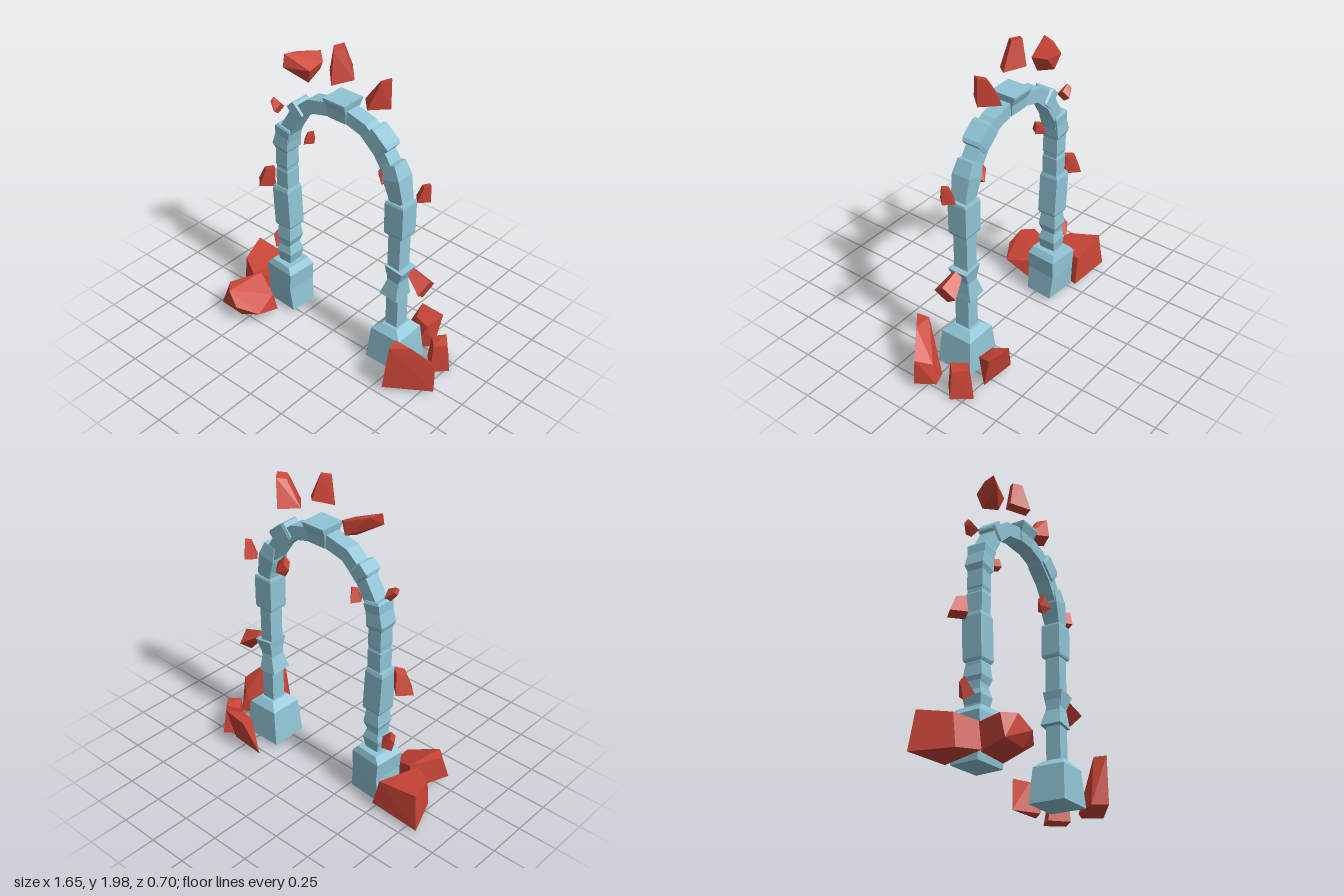
import * as THREE from 'three';
import { ConvexGeometry } from 'three/addons/geometries/ConvexGeometry.js';

const Z = -0.055; // depth of the arch plane
const stone = new THREE.MeshStandardMaterial({ color: 0x8fc4d5, flatShading: true });
const crystal = new THREE.MeshStandardMaterial({ color: 0xcb4537, flatShading: true });
const v = (x, y, z) => new THREE.Vector3(x, y, z);

// Joins four-cornered rings into a closed, faceted solid
function loft(rings) {
  const pts = [];
  for (let i = 0; i < rings.length - 1; i++) {
    const a = rings[i], b = rings[i + 1];
    for (let j = 0; j < 4; j++) {
      const k = (j + 1) % 4;
      pts.push(a[j], b[j], a[k], a[k], b[j], b[k]);
    }
  }
  const s = rings[0], e = rings[rings.length - 1];
  pts.push(s[0], s[1], s[2], s[0], s[2], s[3], e[0], e[2], e[1], e[0], e[3], e[2]);
  const geo = new THREE.BufferGeometry().setFromPoints(pts);
  geo.computeVertexNormals();
  return geo;
}

function add(group, name, geo, material) {
  const mesh = new THREE.Mesh(geo, material);
  mesh.name = name;
  group.add(mesh);
  return mesh;
}

// Stone block: rows of [height, half width, half depth, shift x, shift z]
function block(group, name, x, y, degrees, rows, z = Z) {
  const rings = rows.map(([h, w, d, sx = 0, sz = 0]) => [
    v(sx - w, h, sz - d), v(sx + w, h, sz - d), v(sx + w, h, sz + d), v(sx - w, h, sz + d)]);
  const mesh = add(group, name, loft(rings), stone);
  mesh.position.set(x, y, z);
  mesh.rotation.z = THREE.MathUtils.degToRad(degrees);
  return mesh;
}

// Square beam following the arch
function beam(path, w, d) {
  return loft(path.map(([x, y], i) => {
    const p = path[Math.max(i - 1, 0)], n = path[Math.min(i + 1, path.length - 1)];
    const t = new THREE.Vector2(n[0] - p[0], n[1] - p[1]).normalize();
    const c = (s, z) => v(x + s * t.y * w, y - s * t.x * w, Z + z * d);
    return [c(-1, -1), c(1, -1), c(1, 1), c(-1, 1)];
  }));
}

function rock(group, name, points) {
  return add(group, name, new ConvexGeometry(points.map(p => v(...p))), crystal);
}

// Floating shard: diamond base across a-b, narrower diamond top across c-d
function shard(group, name, a, b, c, d, depth, z = Z, tilt = 0) {
  const mid = (p, q) => [(p[0] + q[0]) / 2, (p[1] + q[1]) / 2];
  const m = mid(a, b), n = mid(c, d), h = depth / 2;
  return rock(group, name, [
    [...a, z], [...b, z], [...c, z], [...d, z],
    [m[0], m[1] - tilt, z + h], [m[0], m[1] + tilt, z - h],
    [n[0], n[1] - tilt * 0.4, z + h * 0.5], [n[0], n[1] + tilt * 0.4, z - h * 0.5]]);
}

export function createModel() {
  const model = new THREE.Group();
  model.name = 'crystalArch';

  // Arch core
  add(model, 'archBeam', beam([
    [-0.415, 0.2], [-0.415, 1.16], [-0.385, 1.32], [-0.3, 1.46], [-0.185, 1.56], [0.02, 1.61],
    [0.205, 1.56], [0.32, 1.46], [0.415, 1.32], [0.45, 1.16], [0.45, 0.2]], 0.043, 0.048), stone);

  // Footings
  block(model, 'rightFooting', -0.41, 0, 0, [
    [0.03, 0.11, 0.09, 0.005, 0], [0.19, 0.098, 0.1, 0, 0],
    [0.305, 0.106, 0.1, -0.002, 0], [0.345, 0.075, 0.085, 0, 0]]).rotation.y = -0.08;
  block(model, 'leftFooting', 0.45, 0, 0, [
    [0.03, 0.13, 0.12], [0.255, 0.105, 0.105], [0.3, 0.055, 0.065]]);

  // Blocks around the right column
  block(model, 'rightChippedBlock', -0.41, 0.48, 0, [
    [-0.13, 0.044, 0.05], [-0.06, 0.058, 0.06], [0, 0.04, 0.045], [0.05, 0.056, 0.06], [0.14, 0.045, 0.05]]);
  block(model, 'rightColumnBlock', -0.417, 0.765, 3.3, [
    [-0.145, 0.056, 0.055], [-0.13, 0.062, 0.062], [0.12, 0.062, 0.062], [0.145, 0.056, 0.055]]);
  block(model, 'rightCollar', -0.415, 1.05, 0, [
    [-0.14, 0.045, 0.05], [-0.02, 0.046, 0.052], [0, 0.038, 0.046], [0.02, 0.046, 0.052], [0.14, 0.045, 0.05]]);
  block(model, 'rightShoulderBlock', -0.407, 1.26, -10, [
    [-0.09, 0.042, 0.05], [-0.06, 0.058, 0.062], [0.02, 0.05, 0.058], [0.075, 0.056, 0.062], [0.09, 0.048, 0.055]]);

  // Blocks around the left column
  block(model, 'leftChippedBlock', 0.45, 0.625, -8, [
    [-0.115, 0.062, 0.068], [0.005, 0.038, 0.048], [0.105, 0.064, 0.066]]);
  block(model, 'leftColumnBlock', 0.45, 1.07, 0, [
    [-0.11, 0.062, 0.058], [-0.095, 0.065, 0.063], [0.095, 0.065, 0.063], [0.11, 0.062, 0.058]]);
  block(model, 'leftShoulderBlock', 0.427, 1.29, 15, [
    [-0.11, 0.046, 0.05], [0.035, 0.058, 0.06], [0.125, 0.04, 0.05]]);

  // Blocks around the curve and the keystone
  block(model, 'rightCurveBlock', -0.295, 1.49, -45, [
    [-0.045, 0.04, 0.045], [-0.03, 0.052, 0.06], [0.035, 0.052, 0.06], [0.045, 0.04, 0.045]]);
  block(model, 'leftCurveBlock', 0.3, 1.515, 50, [
    [-0.075, 0.045, 0.054], [-0.055, 0.053, 0.06], [0.055, 0.053, 0.06], [0.075, 0.045, 0.054]]);
  block(model, 'keystone', 0.02, 1.615, 0, [
    [-0.065, 0.064, 0.052], [0, 0.07, 0.058], [0.05, 0.079, 0.08], [0.063, 0.08, 0.08]]);

  // Boulders of crystal on the ground
  rock(model, 'rightBackCrystal', [
    [-0.83, 0.02, -0.19], [-0.5, 0.04, -0.19], [-0.61, 0.04, 0.11], [-0.74, 0.03, 0.04],
    [-0.8, 0.25, -0.17], [-0.54, 0.22, -0.18], [-0.61, 0.2, 0.09], [-0.74, 0.22, 0.02]]);
  rock(model, 'rightFrontCrystal', [
    [-0.69, 0.05, 0.3], [-0.6, 0.035, 0.1], [-0.39, 0.03, 0.1], [-0.38, 0.1, 0.28], [-0.52, 0.04, 0.3],
    [-0.66, 0.2, 0.25], [-0.57, 0.21, 0.06], [-0.42, 0.14, 0.11], [-0.6, 0.2, 0.32], [-0.51, 0.13, 0.35]]);
  rock(model, 'leftFrontCrystal', [
    [0.52, 0.03, 0.13], [0.57, 0.03, 0.22], [0.825, 0.03, 0.05], [0.75, 0.03, -0.06], [0.66, 0.03, -0.03],
    [0.585, 0.34, 0.12], [0.6, 0.34, 0.2], [0.7, 0.34, 0.12], [0.82, 0.21, 0.04], [0.74, 0.16, -0.03]]);
  rock(model, 'leftBackCrystal', [
    [0.345, 0.02, -0.3], [0.5, 0.02, -0.2], [0.58, 0.02, -0.28], [0.45, 0.05, -0.3],
    [0.43, 0.24, -0.35], [0.6, 0.25, -0.335], [0.56, 0.2, -0.23], [0.46, 0.21, -0.25]]);
  rock(model, 'leftSideCrystal', [
    [0.595, 0, -0.2], [0.69, 0, -0.29], [0.775, 0, -0.18], [0.69, 0, -0.1],
    [0.62, 0.18, -0.2], [0.69, 0.2, -0.25], [0.75, 0.19, -0.18], [0.69, 0.19, -0.12]]);

  // Large shards floating over the arch
  shard(model, 'crownShard', [-0.08, 1.81], [0.1, 1.81], [-0.05, 1.97], [0.025, 1.97], 0.18, -0.06, 0.03);
  rock(model, 'rightCrownShard', [
    [-0.365, 1.835, 0], [-0.36, 1.76, 0.02], [-0.34, 1.83, -0.08], [-0.26, 1.82, -0.19],
    [-0.2, 1.79, -0.14], [-0.2, 1.77, -0.03], [-0.23, 1.68, -0.05], [-0.24, 1.72, -0.16]]);
  shard(model, 'leftCrownShard', [0.165, 1.715], [0.345, 1.715], [0.27, 1.86], [0.345, 1.885], 0.19, -0.075);

  // Small shards floating beside the arch
  const small = [
    [[-0.47, 1.445], [-0.49, 1.375], [-0.525, 1.475], [-0.535, 1.43], 0.09],
    [[-0.28, 1.285], [-0.205, 1.28], [-0.255, 1.34], [-0.205, 1.355], 0.1],
    [[-0.675, 0.84], [-0.53, 0.84], [-0.62, 0.945], [-0.53, 0.97], 0.14],
    [[-0.46, 0.445], [-0.53, 0.37], [-0.525, 0.51], [-0.55, 0.44], 0.1],
    [[0.37, 1.295], [0.31, 1.22], [0.31, 1.36], [0.28, 1.27], 0.1],
    [[0.545, 1.25], [0.645, 1.25], [0.585, 1.34], [0.645, 1.355], 0.11],
    [[0.67, 0.705], [0.63, 0.575], [0.55, 0.745], [0.535, 0.68], 0.155]];
  small.forEach((s, i) => shard(model, `smallShard${i + 1}`, ...s, -0.065));

  return model;
}
